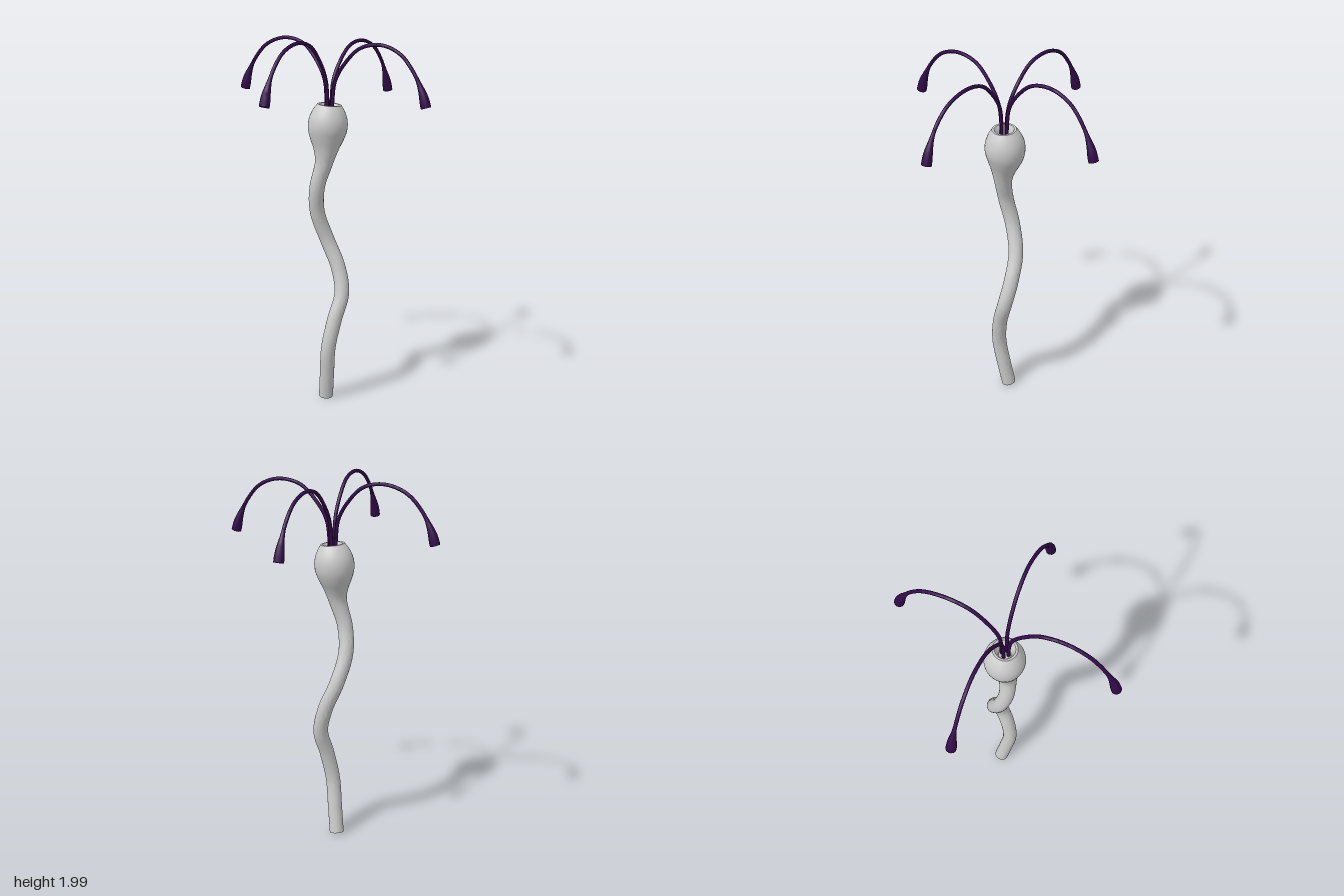
import * as THREE from 'three';
import { toCreasedNormals } from 'three/addons/utils/BufferGeometryUtils.js';

const grey = new THREE.MeshStandardMaterial({ color: 0xcccccc, side: THREE.DoubleSide });
const purple = new THREE.MeshStandardMaterial({ color: 0x330a4a });

const curveThrough = (points) =>
  new THREE.CatmullRomCurve3(points.map((p) => new THREE.Vector3(...p)));

// Sweeps round rings along a curve; each ring is [step along the curve, radius].
function sweep(curve, steps, rings, sides) {
  const frames = curve.computeFrenetFrames(steps, false);
  const positions = [], index = [];
  rings.forEach(([i, r], j) => {
    const centre = curve.getPointAt(i / steps);
    for (let k = 0; k < sides; k++) {
      const a = (k / sides) * Math.PI * 2;
      const p = centre.clone()
        .addScaledVector(frames.normals[i], r * Math.cos(a))
        .addScaledVector(frames.binormals[i], r * Math.sin(a));
      positions.push(p.x, p.y, p.z);
      if (j === rings.length - 1) continue;
      const row = j * sides, k2 = (k + 1) % sides;
      index.push(row + k, row + k2, row + sides + k);
      index.push(row + k2, row + sides + k2, row + sides + k);
    }
  });
  const geometry = new THREE.BufferGeometry();
  geometry.setAttribute('position', new THREE.Float32BufferAttribute(positions, 3));
  geometry.setIndex(index);
  return toCreasedNormals(geometry, 0.8);
}

// Wavy stem that swells into a hollow-topped bulb
function createStem() {
  const curve = curveThrough([
    [-0.03, 0.006, -0.01], [-0.01, 0.15, 0.01], [0.01, 0.31, 0.026], [0.034, 0.47, 0],
    [0.05, 0.61, -0.046], [0.015, 0.75, -0.062], [-0.045, 0.9, -0.045],
    [-0.075, 1.06, 0.005], [-0.057, 1.2, 0.033], [-0.018, 1.35, 0.022],
    [-0.011, 1.51, 0.003], [0, 1.645, 0],
  ]);
  const radiusAt = new THREE.CubicInterpolant(
    [0, 0.6, 1.2, 1.28, 1.35, 1.41, 1.46, 1.51, 1.565, 1.615, 1.645],
    [0.039, 0.04, 0.041, 0.043, 0.05, 0.067, 0.088, 0.103, 0.102, 0.083, 0.063], 1);
  const steps = 120;
  const rings = [[0, 0]];
  for (let i = 0; i <= steps; i++) {
    rings.push([i, radiusAt.evaluate(curve.getPointAt(i / steps).y)[0]]);
  }
  // Rim turning inward and down into the mouth
  rings.push([120, 0.052], [119, 0.044], [118, 0.037], [116, 0.031], [115, 0]);
  return new THREE.Mesh(sweep(curve, steps, rings, 32), grey);
}

// Arching filament with a flared tip: `side` is the angle outward from +x,
// `peak` and `tip` are heights, `bow` and `drift` move it sideways along the arch.
function createFilament({ side, peak, tip, bow, drift }) {
  const rise = (f) => 1.75 + (peak - 1.75) * f;
  const profile = [
    [0.018, 1.59, 0], [0.02, 1.68, 0], [0.035, rise(0.1), bow * 0.2],
    [0.09, rise(0.5), bow * 0.5], [0.18, rise(0.86), bow * 0.8], [0.3, rise(1) - 0.01, bow],
    [0.415, peak - (peak - tip) * 0.16, (bow + drift) / 2],
    [0.495, peak - (peak - tip) * 0.43, drift],
    [0.547, peak - (peak - tip) * 0.75, drift], [0.57, tip, drift],
  ];
  const c = Math.cos(side), s = Math.sin(side);
  const curve = curveThrough(profile.map(([out, y, across]) =>
    [c * out - s * across, y, s * out + c * across]));
  const steps = 60;
  const rings = [[0, 0]];
  for (let i = 0; i <= steps; i++) {
    const flare = THREE.MathUtils.smoothstep(i / steps, 0.83, 0.985);
    rings.push([i, 0.0095 + 0.0165 * flare]);
  }
  rings.push([steps, 0]);
  return new THREE.Mesh(sweep(curve, steps, rings, 12), purple);
}

export function createModel() {
  const model = new THREE.Group();
  model.name = 'flower';

  const stem = createStem();
  stem.name = 'stemAndBulb';
  model.add(stem);

  const filaments = {
    leftFilament: { side: 0, peak: 1.975, tip: 1.67, bow: -0.013, drift: 0 },
    frontFilament: { side: Math.PI / 2, peak: 1.992, tip: 1.7, bow: -0.004, drift: 0 },
    rightFilament: { side: Math.PI, peak: 1.985, tip: 1.69, bow: 0.028, drift: 0.025 },
    backFilament: { side: -Math.PI / 2, peak: 1.965, tip: 1.66, bow: 0.01, drift: 0.018 },
  };
  for (const [name, options] of Object.entries(filaments)) {
    const filament = createFilament(options);
    filament.name = name;
    model.add(filament);
  }
  return model;
}
